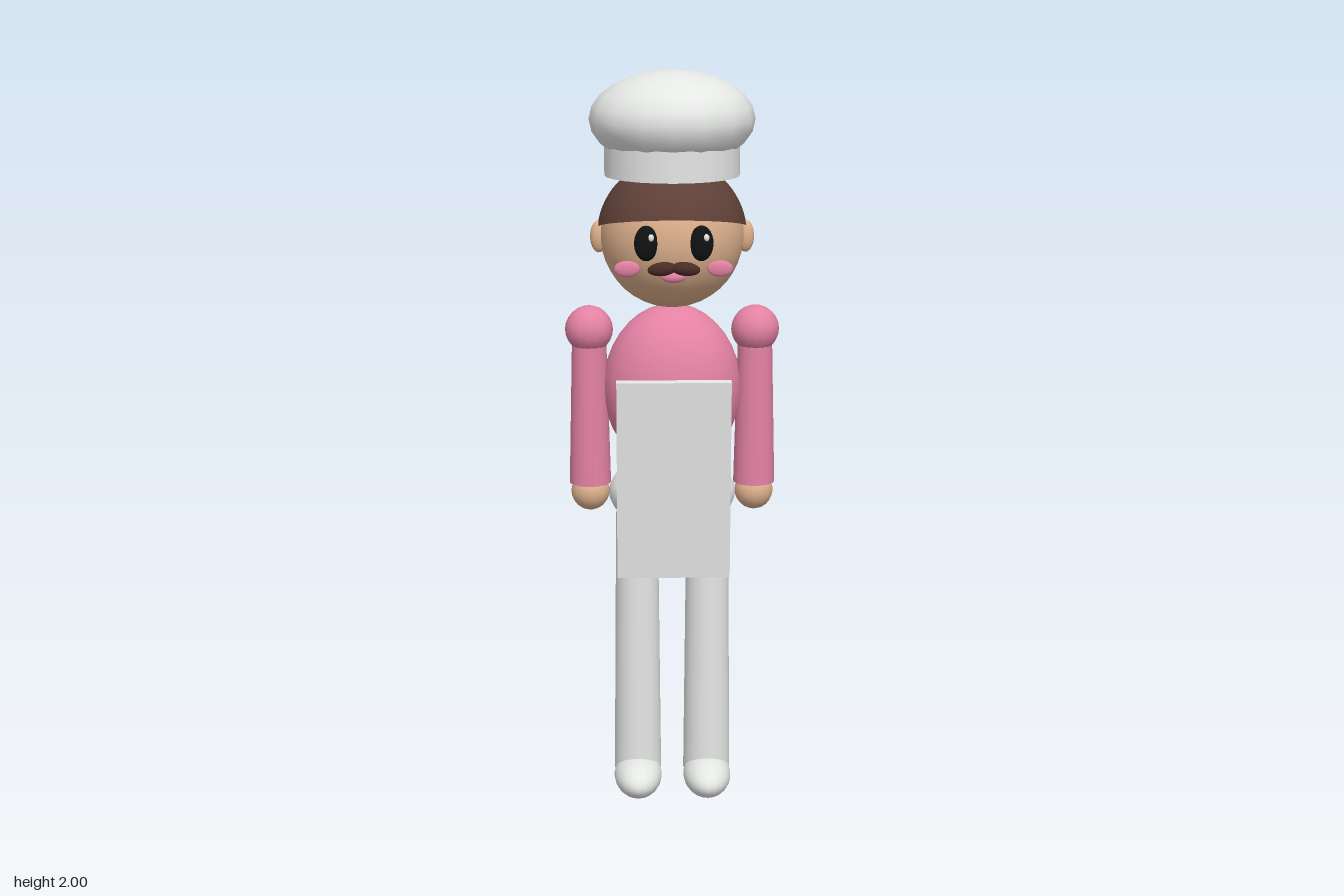
import * as THREE from 'three';

const mat = (name, color) => {
  const m = new THREE.MeshStandardMaterial({ color });
  m.name = name;
  return m;
};

export function createModel() {
  const white = mat('white', 0xeceeec);
  const pink = mat('pink', 0xe482a4);
  const skin = mat('skin', 0xddb08c);
  const hairBrown = mat('hairBrown', 0x5e4038);
  const darkBrown = mat('darkBrown', 0x4a2c24);
  const black = mat('black', 0x111214);

  const model = new THREE.Group();
  model.name = 'chef';

  const add = (name, geometry, material, x, y, z) => {
    const mesh = new THREE.Mesh(geometry, material);
    mesh.name = name;
    mesh.position.set(x, y, z);
    model.add(mesh);
    return mesh;
  };
  // Ellipsoid from a unit sphere
  const blob = (name, material, [x, y, z], [rx, ry, rz], seg = 20) => {
    const mesh = add(name, new THREE.SphereGeometry(1, seg, Math.round(seg * 0.75)), material, x, y, z);
    mesh.scale.set(rx, ry, rz);
    return mesh;
  };
  const tube = (name, material, rTop, rBottom, y0, y1, x = 0, z = 0, seg = 20) =>
    add(name, new THREE.CylinderGeometry(rTop, rBottom, y1 - y0, seg), material, x, (y0 + y1) / 2, z);

  // Body
  blob('torso', pink, [0, 1.155, 0], [0.185, 0.228, 0.15], 24);
  blob('hips', white, [0, 0.865, 0], [0.172, 0.105, 0.14], 24);

  // Head and hair cap, lower at the back
  blob('head', skin, [0, 1.57, 0], [0.19, 0.193, 0.19], 28);
  const hair = add('hair',
    new THREE.SphereGeometry(0.198, 32, 16, 0, Math.PI * 2, 0, 1.47), hairBrown, 0, 1.57, 0);
  hair.rotation.x = -0.23;

  // Hat
  tube('hatBand', white, 0.178, 0.178, 1.727, 1.83, 0, 0, 24);
  blob('hatPuff', white, [0, 1.873, 0], [0.218, 0.127, 0.21], 16);

  // Apron, leaning forward at the top
  const apron = add('apron', new THREE.BoxGeometry(0.3, 0.545, 0.026), white, 0, 0.942, 0.171);
  apron.rotation.x = 0.078;

  // Mouth
  blob('mouth', pink, [0, 1.486, 0.178], [0.031, 0.015, 0.012], 14);

  for (const s of [-1, 1]) {
    // Face
    blob('ear', skin, [s * 0.194, 1.565, 0], [0.023, 0.043, 0.018], 14);
    blob('eye', black, [s * 0.071, 1.574, 0.178], [0.031, 0.046, 0.018]);
    blob('eyeGlint', white, [s * 0.071 + 0.012, 1.59, 0.191], [0.008, 0.01, 0.006], 10);
    blob('cheek', pink, [s * 0.12, 1.505, 0.158], [0.034, 0.021, 0.008], 16);
    const moustache = blob('moustache', darkBrown, [s * 0.03, 1.509, 0.187], [0.038, 0.018, 0.016], 16);
    moustache.rotation.z = s * -0.1;

    // Arm
    blob('shoulder', pink, [s * 0.222, 1.315, 0], [0.064, 0.064, 0.064], 16);
    tube('sleeve', pink, 0.045, 0.056, 0.893, 1.32, s * 0.222);
    blob('hand', skin, [s * 0.222, 0.868, 0], [0.052, 0.052, 0.052], 16);

    // Leg
    tube('leg', white, 0.057, 0.065, 0.06, 0.81, s * 0.096);
    blob('foot', white, [s * 0.096, 0.055, 0.04], [0.066, 0.055, 0.118]);
  }

  return model;
}
